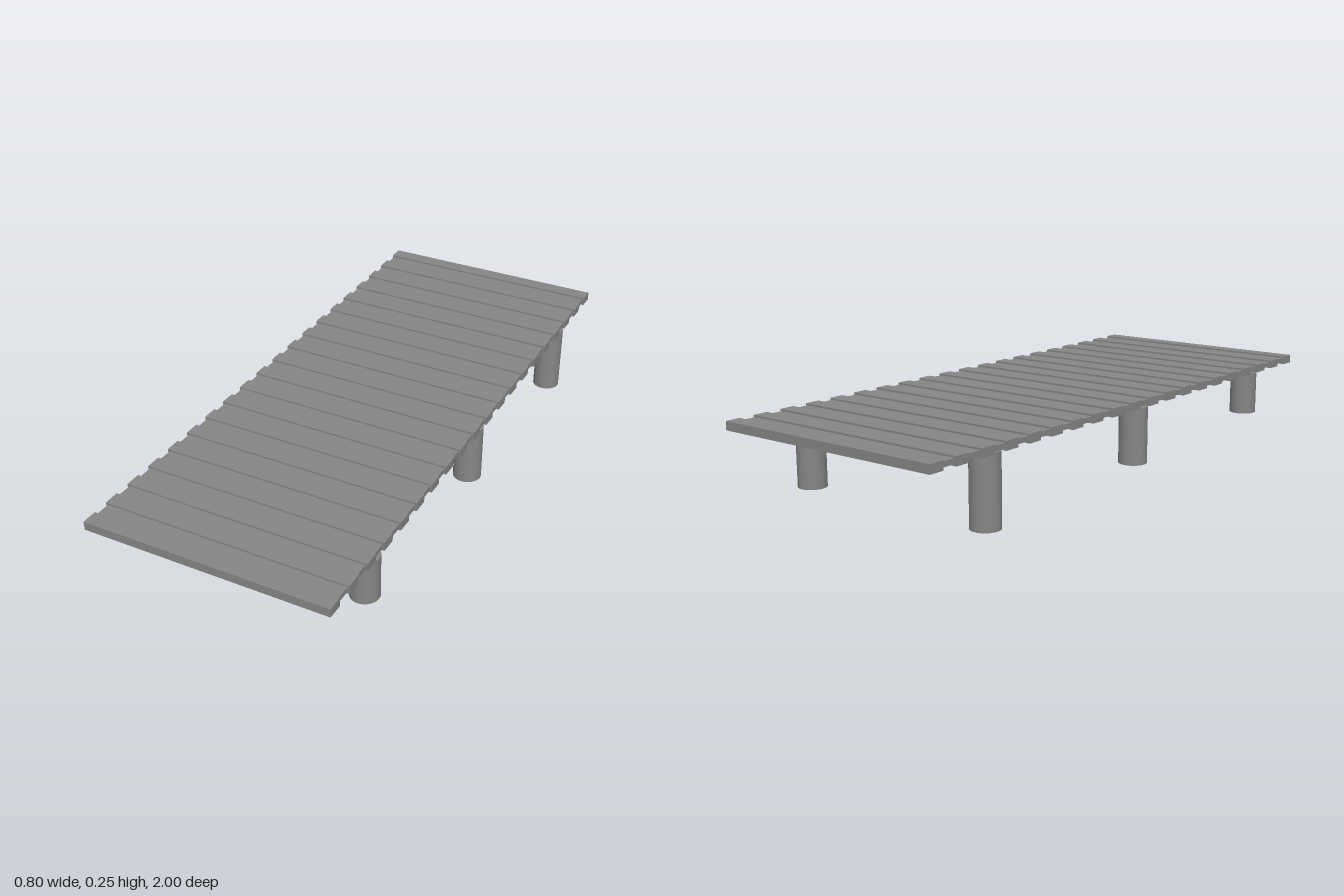
import * as THREE from 'three';

export function createModel() {
  const model = new THREE.Group();
  const material = new THREE.MeshStandardMaterial({ color: 0x868686 });

  function add(name, geometry, x, y, z, parent) {
    const mesh = new THREE.Mesh(geometry, material);
    mesh.name = name;
    mesh.position.set(x, y, z);
    parent.add(mesh);
  }

  // Deck: thick planks alternating with thinner, slightly recessed ones
  const deck = new THREE.Group();
  deck.name = 'deck';
  model.add(deck);
  const count = 39;
  const width = 2 / count;
  const thick = new THREE.BoxGeometry(0.799, 0.028, width);
  const thin = new THREE.BoxGeometry(0.787, 0.016, width);
  for (let i = 0; i < count; i++) {
    const z = -1 + (i + 0.5) * width;
    const raised = i % 2 === 0;
    add(raised ? 'plank' : 'recessedPlank', raised ? thick : thin, -0.001, 0.239, z, deck);
  }

  // Round posts, stepping down in length towards the front: x, z, foot height
  const posts = [
    [-0.344, -0.717, 0], [0.355, -0.717, 0],
    [-0.356, 0, 0.04], [0.351, 0, 0.033],
    [-0.353, 0.727, 0.079], [0.355, 0.727, 0.079],
  ];
  const top = 0.225;
  for (const [x, z, foot] of posts) {
    const height = top - foot;
    add('post', new THREE.CylinderGeometry(0.046, 0.046, height, 32), x, foot + height / 2, z, model);
  }

  return model;
}
